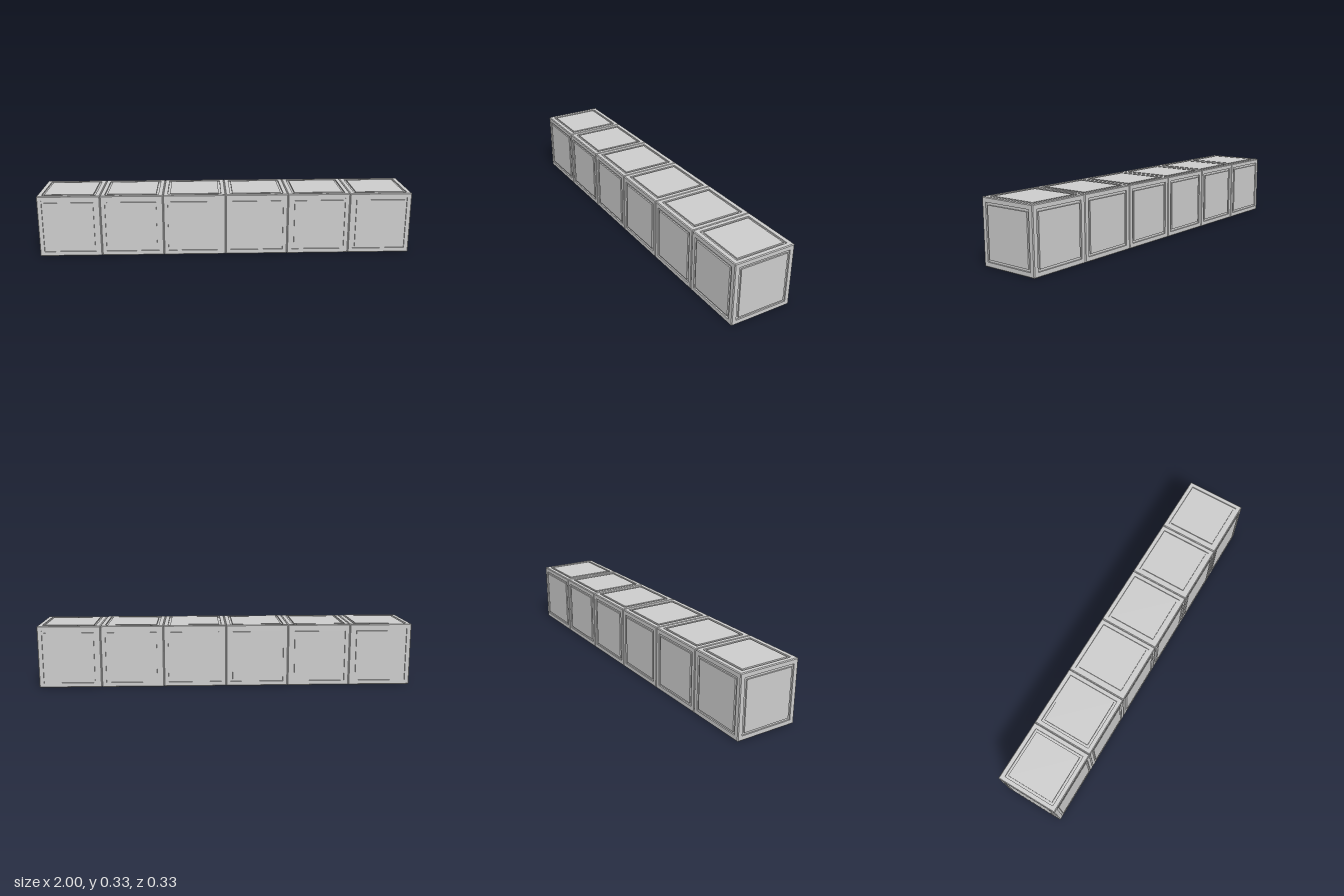
import * as THREE from 'three';
import { mergeGeometries } from 'three/addons/utils/BufferGeometryUtils.js';

const COUNT = 6;
const SIZE = 2 / COUNT;
const H = SIZE / 2;
const BEVEL = 0.004;
const GROOVE = 0.007;

// Square rings of one cube face, from the outside in: [half width, height from cube centre]
const PROFILE = [
  [H - BEVEL / 2, H - BEVEL / 2], // middle of the bevelled edge
  [H - BEVEL, H],                 // border
  [0.142, H],
  [0.142, H - GROOVE],            // groove floor
  [0.13, H - GROOVE],
  [0.13, H],                      // centre panel
  [0, H],
];

// One face looking along +z, built by joining successive rings
function faceGeometry() {
  const signs = [[-1, -1], [1, -1], [1, 1], [-1, 1]];
  const positions = [];
  for (let r = 0; r < PROFILE.length - 1; r++) {
    for (let i = 0; i < 4; i++) {
      const corner = ([half, z], k) => [signs[k % 4][0] * half, signs[k % 4][1] * half, z];
      const a = corner(PROFILE[r], i), b = corner(PROFILE[r], i + 1);
      const c = corner(PROFILE[r + 1], i + 1), d = corner(PROFILE[r + 1], i);
      positions.push(...a, ...b, ...c);
      if (PROFILE[r + 1][0] > 0) positions.push(...a, ...c, ...d);
    }
  }
  const geometry = new THREE.BufferGeometry();
  geometry.setAttribute('position', new THREE.Float32BufferAttribute(positions, 3));
  return geometry;
}

// Six copies of the face make a bevelled, grooved cube
function cubeGeometry() {
  const faces = [];
  for (let i = 0; i < 4; i++) faces.push(faceGeometry().rotateY(i * Math.PI / 2));
  for (const s of [-1, 1]) faces.push(faceGeometry().rotateX(s * Math.PI / 2));
  const geometry = mergeGeometries(faces);
  geometry.computeVertexNormals();
  return geometry;
}

export function createModel() {
  const group = new THREE.Group();
  group.name = 'cubeRow';
  const material = new THREE.MeshStandardMaterial({ color: 0xcccccc, flatShading: true });
  const geometry = cubeGeometry();

  // Row of touching cubes
  for (let i = 0; i < COUNT; i++) {
    const cube = new THREE.Mesh(geometry, material);
    cube.name = `panelledCube${i + 1}`;
    cube.position.set(-1 + SIZE * (i + 0.5), H, 0);
    group.add(cube);
  }
  return group;
}
